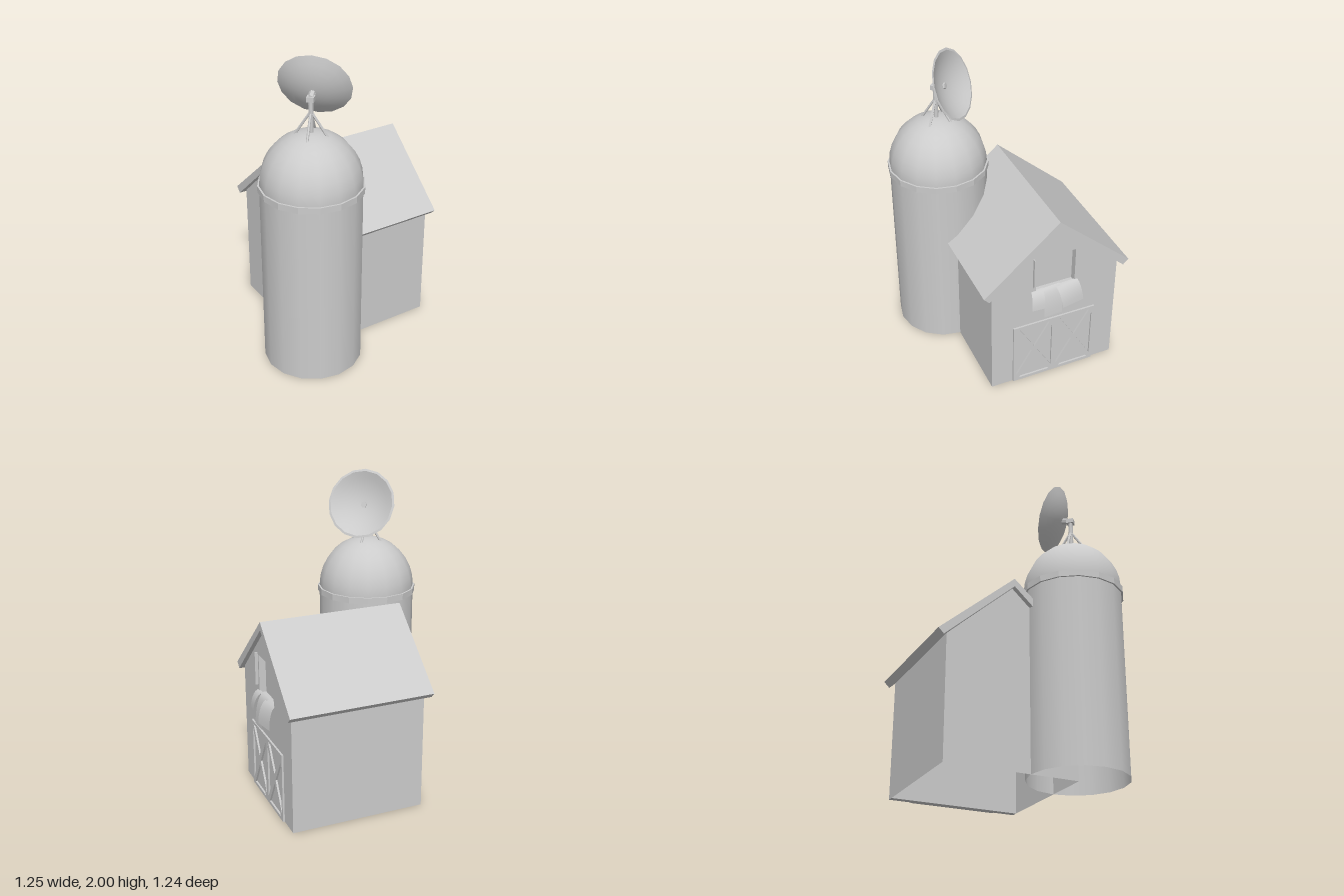
import * as THREE from 'three';

const grey = new THREE.MeshStandardMaterial({ color: 0xcccccc, side: THREE.DoubleSide });
const flat = new THREE.MeshStandardMaterial({ color: 0xcccccc, side: THREE.DoubleSide, flatShading: true });
const V = (x, y, z) => new THREE.Vector3(x, y, z);

function add(parent, name, geometry, material = flat, x = 0, y = 0, z = 0) {
  const mesh = new THREE.Mesh(geometry, material);
  mesh.name = name;
  mesh.position.set(x, y, z);
  parent.add(mesh);
  return mesh;
}

const polygon = (pts) => new THREE.Shape(pts.map((p) => new THREE.Vector2(...p)));

// Extrude a side profile, drawn as (-z, y), along +x from x0
function sideExtrude(shape, x0, depth) {
  return new THREE.ExtrudeGeometry(shape, { depth, bevelEnabled: false })
    .rotateY(Math.PI / 2).translate(x0, 0, 0);
}

// Straight rod between two points
function rod(parent, name, a, b, radius, sides) {
  const mesh = add(parent, name, new THREE.CylinderGeometry(radius, radius, a.distanceTo(b), sides));
  mesh.position.copy(a).lerp(b, 0.5);
  mesh.quaternion.setFromUnitVectors(V(0, 1, 0), b.clone().sub(a).normalize());
}

function createBarn() {
  const barn = new THREE.Group();
  barn.name = 'barn';
  const gable = [[-0.3, 0], [0.555, 0], [0.555, 0.775], [0.1275, 1.17], [-0.3, 0.775]];

  // Thick gable wall with a recessed loft window
  const front = polygon(gable);
  front.holes.push(polygon([[-0.005, 0.7], [-0.005, 0.955], [0.26, 0.955], [0.26, 0.7]]));
  add(barn, 'doorGableWall', sideExtrude(front, 0.515, 0.045));
  add(barn, 'loftWindowPanel', new THREE.PlaneGeometry(0.28, 0.27).rotateY(Math.PI / 2), flat, 0.516, 0.828, -0.1275);
  add(barn, 'loftShutter', new THREE.BoxGeometry(0.02, 0.215, 0.006), flat, 0.57, 0.858, 0.023);

  // Thin remaining walls, open underneath
  add(barn, 'rearGableWall', new THREE.ShapeGeometry(polygon(gable)).rotateY(Math.PI / 2), flat, -0.305);
  for (const [name, z] of [['frontWall', 0.3], ['backWall', -0.555]]) {
    add(barn, name, new THREE.PlaneGeometry(0.865, 0.775), flat, 0.1275, 0.3875, z);
  }

  // Gabled roof slab
  const roof = polygon([[-0.36, 0.785], [-0.325, 0.75], [0.13, 1.163], [0.585, 0.75], [0.62, 0.785], [0.13, 1.215]]);
  add(barn, 'roof', sideExtrude(roof, -0.34, 0.93));

  // Double door: a framed slab with the gaps around two crosses cut out
  const door = polygon([[-0.155, 0], [0.41, 0], [0.41, 0.455], [-0.155, 0.455]]);
  for (const u of [-0.01, 0.27]) {
    const w = 0.122, h = 0.207, cy = 0.228;
    for (const s of [-1, 1]) {
      door.holes.push(polygon([[u + s * w, cy - h + 0.03], [u + s * w, cy + h - 0.03], [u + s * 0.018, cy]]));
      door.holes.push(polygon([[u - w + 0.018, cy + s * h], [u + w - 0.018, cy + s * h], [u, cy + s * 0.032]]));
    }
  }
  add(barn, 'doubleDoor', sideExtrude(door, 0.56, 0.012));

  // Hay hanging out of the window: [z, width, drop, reach, sideways drift, yaw]
  const strips = [
    [-0.005, 0.08, 0.115, 0.05, 0.012, -0.12],
    [-0.098, 0.12, 0.195, 0.045, 0, 0],
    [-0.2, 0.15, 0.14, 0.055, -0.03, 0.12],
  ];
  for (const [z, width, drop, reach, drift, yaw] of strips) {
    const geometry = new THREE.PlaneGeometry(width, 1, 2, 6);
    const p = geometry.attributes.position;
    for (let i = 0; i < p.count; i++) {
      const s = -p.getX(i), t = 0.5 - p.getY(i), a = t * Math.PI / 2;
      p.setXYZ(i, 0.553 + (reach + s * yaw) * Math.sin(a) + 0.01 * t,
        0.715 - drop * (1 - Math.cos(a)) - s * 0.06, z + s + drift * t);
    }
    geometry.computeVertexNormals();
    add(barn, 'hay', geometry, grey);
  }
  return barn;
}

function createSilo() {
  const silo = new THREE.Group();
  silo.name = 'silo';
  silo.position.set(-0.305, 0, 0.297);
  add(silo, 'siloWall', new THREE.CylinderGeometry(0.311, 0.311, 1.2, 16, 1, true), grey, 0, 0.6);
  const band = [[0.305, 1.185], [0.322, 1.185], [0.322, 1.225], [0.305, 1.225]];
  add(silo, 'siloBand', new THREE.LatheGeometry(band.map((p) => new THREE.Vector2(...p)), 16));
  const dome = new THREE.SphereGeometry(0.311, 16, 8, 0, Math.PI * 2, 0, Math.PI / 2).scale(1, 1.045, 1);
  add(silo, 'dome', dome, grey, 0, 1.225);

  // Mast with four braces
  rod(silo, 'mast', V(0, 1.53, 0), V(0, 1.76, 0), 0.015, 8);
  for (const x of [-1, 1]) for (const z of [-1, 1]) {
    rod(silo, 'mastBrace', V(x * 0.072, 1.52, z * 0.072), V(x * 0.006, 1.665, z * 0.006), 0.008, 6);
  }
  const head = add(silo, 'mastHead', new THREE.BoxGeometry(0.045, 0.03, 0.045), flat, 0, 1.755);
  head.rotation.y = Math.PI / 4;

  // Tilted dish: shallow bowl with a thick rim
  const elevation = 0.375, c = Math.cos(elevation) * Math.SQRT1_2;
  const aim = V(c, Math.sin(elevation), -c);
  const centre = V(0.08, 1.793, -0.085);
  const outer = [], inner = [];
  for (let i = 0; i <= 5; i++) {
    const r = i / 5;
    outer.push(new THREE.Vector2(r * 0.223, -0.07 + 0.07 * r * r));
    inner.unshift(new THREE.Vector2(r * 0.209, -0.06 + 0.062 * r * r));
  }
  const orient = new THREE.Quaternion().setFromUnitVectors(V(0, 1, 0), aim);
  for (const [name, pts] of [['dishBack', outer], ['dishBowl', inner], ['dishRim', [outer[5], inner[0]]]]) {
    const mesh = add(silo, name, new THREE.LatheGeometry(pts, 16), grey);
    mesh.position.copy(centre);
    mesh.quaternion.copy(orient);
  }
  rod(silo, 'dishArm', V(0, 1.757, 0), centre.clone().addScaledVector(aim, -0.05), 0.02, 6);
  return silo;
}

export function createModel() {
  const model = new THREE.Group();
  model.name = 'barnWithSilo';
  model.add(createBarn(), createSilo());
  return model;
}
